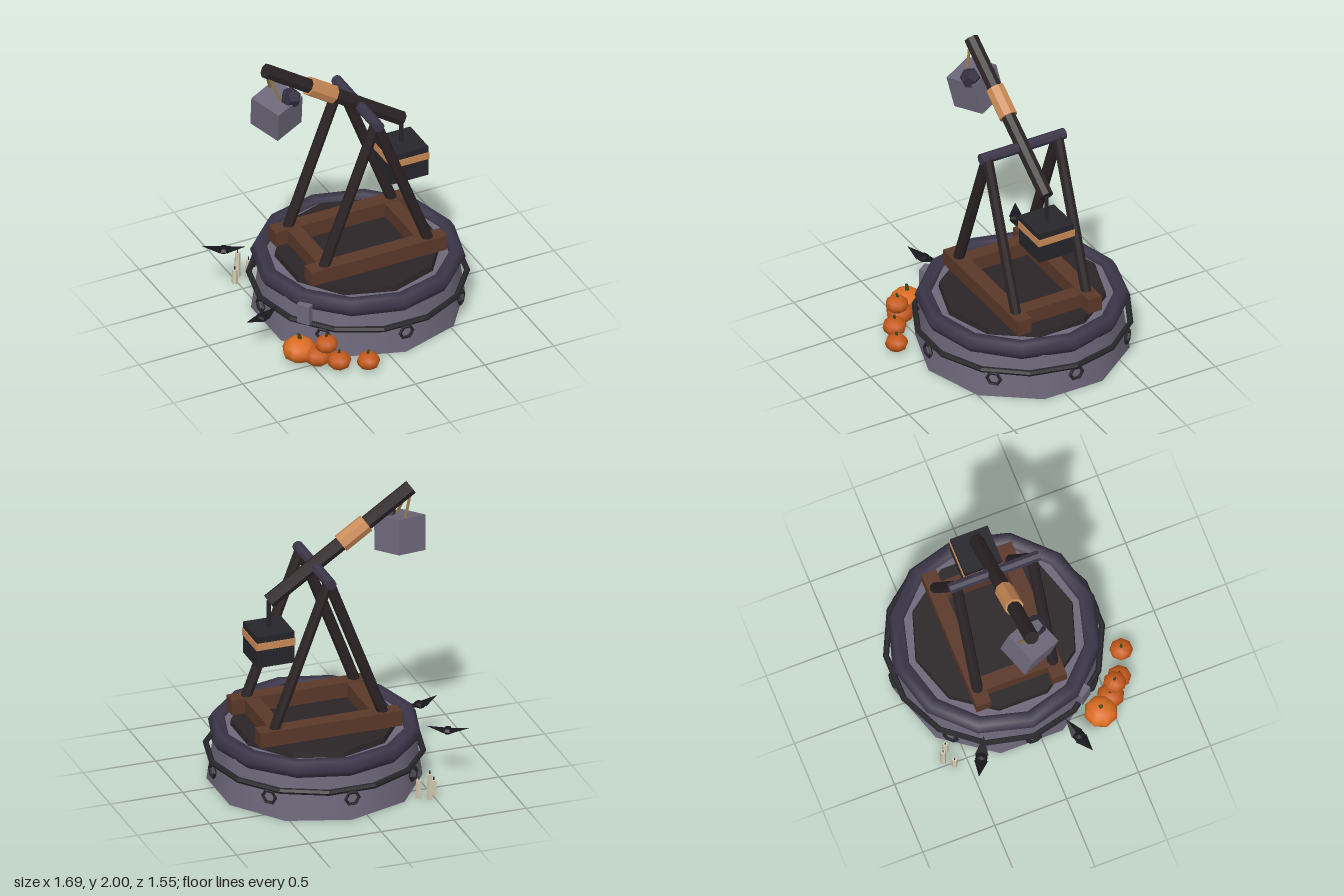
import * as THREE from 'three';

const CX = 0.115, CZ = -0.067; // centre of the round base
const COLORS = {
  stone: 0x6d6779, rim: 0x3b3649, floor: 0x2b2527, iron: 0x26262b, wood: 0x5a3828,
  darkWood: 0x2b2325, copper: 0xc98a56, lump: 0x332e40, rope: 0x8a7448,
  pumpkin: 0xc4591a, bigPumpkin: 0xdb6c20, stem: 0x3c4420, bat: 0x17161c, wax: 0xcfc8b0,
};
const mats = {};
function mat(key, flat) {
  const id = key + flat;
  mats[id] ??= new THREE.MeshStandardMaterial({ color: COLORS[key], flatShading: flat });
  return mats[id];
}

export function createModel() {
  const model = new THREE.Group();

  function add(name, geo, color, pos = [0, 0, 0], rot = [0, 0, 0], parent = model, flat = true) {
    const mesh = new THREE.Mesh(geo, mat(color, flat));
    mesh.name = name;
    mesh.position.set(...pos);
    mesh.rotation.set(...rot);
    parent.add(mesh);
    return mesh;
  }
  const box = (name, color, size, pos, rot) => add(name, new THREE.BoxGeometry(...size), color, pos, rot);

  // Cylinder running between two points
  function bar(name, color, a, b, r, sides = 8) {
    const p = new THREE.Vector3(...a), q = new THREE.Vector3(...b);
    const dir = q.clone().sub(p);
    const mesh = add(name, new THREE.CylinderGeometry(r, r, dir.length(), sides), color,
      p.clone().add(q).multiplyScalar(0.5).toArray());
    mesh.quaternion.setFromUnitVectors(new THREE.Vector3(0, 1, 0), dir.normalize());
    return mesh;
  }

  // Round stone base with rim and floor
  add('stoneBase', new THREE.CylinderGeometry(0.645, 0.7, 0.38, 10), 'stone', [CX, 0.19, CZ], [0, 0, 0], model, false);
  add('rim', new THREE.TorusGeometry(0.637, 0.062, 6, 12), 'rim', [CX, 0.355, CZ], [Math.PI / 2, 0, 0], model, false);
  add('floor', new THREE.CylinderGeometry(0.54, 0.55, 0.06, 10), 'floor', [CX, 0.39, CZ]);
  box('sideBlock', 'stone', [0.05, 0.14, 0.09], [-0.465, 0.29, 0.325], [0, 0.6, 0]);

  // Iron hoop with eight hanging rings
  add('hoop', new THREE.TorusGeometry(0.707, 0.02, 6, 14), 'iron', [CX, 0.215, CZ], [Math.PI / 2, 0, 0]);
  for (let i = 0; i < 8; i++) {
    const a = i * Math.PI / 4;
    add('hangingRing', new THREE.TorusGeometry(0.046, 0.012, 5, 6), 'iron',
      [CX + Math.sin(a) * 0.705, 0.158, CZ + Math.cos(a) * 0.705], [0, a, 0]);
  }

  // Timber frame
  for (const s of [-1, 1]) {
    box('longBeam', 'wood', [0.98, 0.105, 0.103], [CX, 0.473, CZ + s * 0.262]);
    box('crossBeam', 'wood', [0.1, 0.1, 0.43], [CX + s * 0.352, 0.471, CZ]);
    // A-frame legs on each side
    for (const t of [-1, 1])
      bar('frameLeg', 'darkWood', [CX + t * 0.38, 0.5, CZ + s * 0.262], [CX, 1.51, CZ + s * 0.262], 0.037);
  }
  bar('axle', 'rim', [CX, 1.51, CZ - 0.313], [CX, 1.51, CZ + 0.313], 0.037);

  // Throwing arm with its collar
  const tip = new THREE.Vector3(-0.552, 1.963, CZ), tail = new THREE.Vector3(0.43, 1.305, CZ);
  const along = t => tip.clone().lerp(tail, t).toArray();
  bar('throwingArm', 'darkWood', along(0), along(1), 0.05);
  bar('armCollar', 'copper', along(0.315), along(0.495), 0.064);

  // Counterweight
  bar('weightRod', 'iron', [0.43, 1.08, CZ], [0.43, 1.31, CZ], 0.015, 6);
  box('counterweight', 'iron', [0.26, 0.22, 0.26], [0.43, 1.015, CZ]);
  box('counterweightBand', 'copper', [0.27, 0.05, 0.27], [0.43, 1.055, CZ]);

  // Stone load slung from the tip
  box('stoneLoad', 'stone', [0.235, 0.235, 0.235], [-0.48, 1.645, -0.055], [0.18, 0.4, 0.08]);
  add('smallStone', new THREE.DodecahedronGeometry(0.07), 'lump', [-0.412, 1.765, 0.02], [0.3, 0.4, 0.2]);
  bar('sling', 'rope', [-0.54, 1.93, CZ - 0.02], [-0.475, 1.74, -0.145], 0.01, 5);
  bar('sling', 'rope', [-0.54, 1.93, CZ + 0.02], [-0.475, 1.74, 0.01], 0.01, 5);

  // Pumpkins: x, y, z, radius
  [
    [-0.55, 0.088, 0.415, 0.113, 'bigPumpkin'],
    [-0.465, 0.075, 0.515, 0.092, 'pumpkin'],
    [-0.425, 0.178, 0.56, 0.077, 'pumpkin'],
    [-0.36, 0.063, 0.615, 0.08, 'pumpkin'],
    [-0.19, 0.06, 0.697, 0.077, 'pumpkin'],
  ].forEach(([x, y, z, r, color], i) => {
    const pumpkin = new THREE.Group();
    pumpkin.name = 'pumpkin';
    pumpkin.position.set(x, y, z);
    pumpkin.rotation.y = i * 0.7;
    model.add(pumpkin);
    add('pumpkinBody', new THREE.SphereGeometry(r, 8, 6).scale(1, 0.76, 1), color, [0, 0, 0], [0, 0, 0], pumpkin, false);
    add('pumpkinStem', new THREE.CylinderGeometry(r * 0.09, r * 0.14, r * 0.4, 5), 'stem',
      [0, r * 0.88, 0], [0, 0, 0.2], pumpkin);
  });

  // Bats: x, y, z, heading
  for (const [x, y, z, yaw] of [[-0.66, 0.375, -0.46, -0.485], [-0.712, 0.255, 0.2, 0.31]]) {
    const bat = new THREE.Group();
    bat.name = 'bat';
    bat.position.set(x, y, z);
    bat.rotation.y = yaw;
    model.add(bat);
    add('batBody', new THREE.SphereGeometry(1, 6, 4).scale(0.036, 0.024, 0.045), 'bat', [0, 0, 0], [0, 0, 0], bat);
    for (const s of [-1, 1])
      add('batWing', new THREE.ConeGeometry(0.045, 0.125, 4).scale(0.2, 1, 1), 'bat',
        [s * 0.08, 0.01, 0], [0, 0, s * (0.22 - Math.PI / 2)], bat);
  }

  // Candles: x, z, height
  for (const [x, z, h] of [[-0.465, -0.65, 0.18], [-0.515, -0.59, 0.1], [-0.405, -0.61, 0.13]]) {
    add('candle', new THREE.CylinderGeometry(0.019, 0.022, h, 5), 'wax', [x, h / 2, z]);
    add('wick', new THREE.CylinderGeometry(0.005, 0.005, 0.025, 4), 'iron', [x, h + 0.01, z]);
  }
  return model;
}
